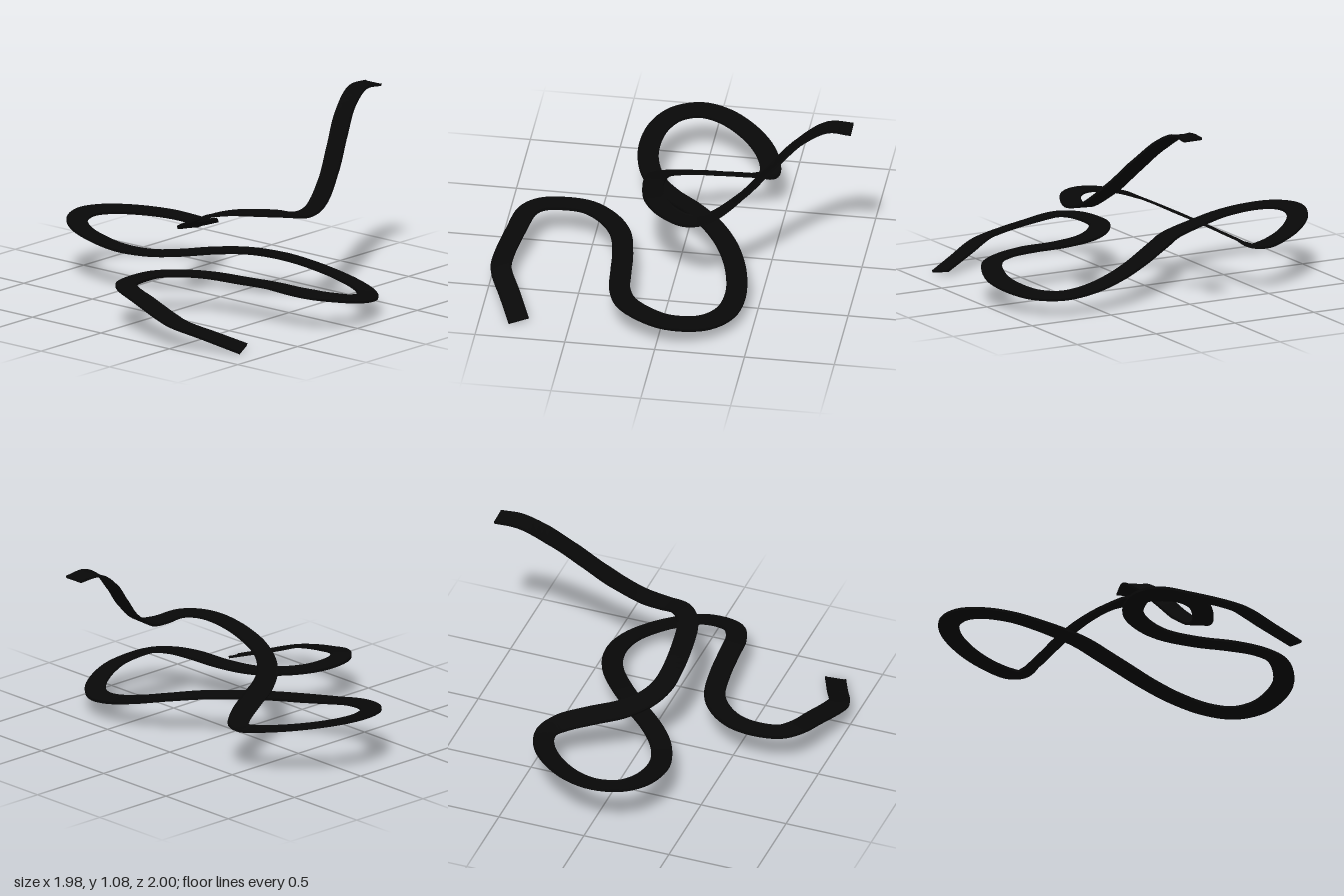
import * as THREE from 'three';
import { toCreasedNormals } from 'three/addons/utils/BufferGeometryUtils.js';

// Centre line of the track: x, y, z and bank angle per row (positive raises the right edge)
const LOWER_PATH = [
  [-0.78, 0.019, 0.85, 0.2], [-0.855, 0.073, 0.68, 0.17], [-0.93, 0.127, 0.51, 0.15], [-0.93, 0.153, 0.42, 0.13],
  [-0.89, 0.203, 0.22, 0.1], [-0.85, 0.233, 0.07, 0.04], [-0.78, 0.235, -0.005, 0], [-0.65, 0.235, -0.03, 0],
  [-0.52, 0.236, -0.01, 0], [-0.4, 0.231, 0.075, 0], [-0.315, 0.225, 0.2, 0], [-0.27, 0.221, 0.4, 0],
  [-0.25, 0.224, 0.6, 0], [-0.23, 0.214, 0.76, -0.08], [-0.17, 0.199, 0.87, -0.15], [0, 0.16, 0.938, -0.17],
  [0.13, 0.132, 0.92, -0.17], [0.26, 0.109, 0.85, -0.17], [0.355, 0.107, 0.73, -0.15], [0.386, 0.129, 0.58, -0.1],
  [0.36, 0.169, 0.4, -0.05], [0.29, 0.21, 0.23, 0], [0.18, 0.238, 0.07, 0], [0.05, 0.243, -0.07, 0],
  [-0.1, 0.235, -0.21, 0], [-0.2, 0.232, -0.34, 0], [-0.265, 0.246, -0.5, 0.03], [-0.28, 0.271, -0.64, 0],
  [-0.25, 0.296, -0.79, -0.05], [-0.17, 0.315, -0.9, -0.12], [-0.04, 0.324, -0.945, -0.16], [0.1, 0.318, -0.91, -0.15],
];
const UPPER_PATH = [
  [0.25, 0.3, -0.8, -0.12], [0.36, 0.278, -0.66, -0.08], [0.412, 0.256, -0.52, 0], [0.405, 0.256, -0.45, -0.12],
  [0.35, 0.279, -0.405, -0.4], [0.2, 0.319, -0.335, -0.43], [0.05, 0.355, -0.27, -0.4], [-0.06, 0.396, -0.19, -0.3],
  [-0.12, 0.44, -0.1, -0.18], [-0.14, 0.485, 0, 0], [-0.135, 0.54, 0.18, 0], [-0.1, 0.564, 0.35, 0],
  [-0.02, 0.562, 0.46, 0], [0.1, 0.54, 0.505, 0], [0.22, 0.562, 0.5, 0.12], [0.4, 0.69, 0.44, 0.33],
  [0.55, 0.842, 0.37, 0.36], [0.7, 0.984, 0.3, 0.29], [0.85, 1.068, 0.26, 0.07], [0.985, 1.066, 0.257, 0],
];

// Thin road section with slightly raised edges, counter-clockwise (side, up)
const PROFILE = [
  [-0.058, -0.007], [0.058, -0.007], [0.058, 0.007], [0.046, 0.003], [-0.046, 0.003], [-0.058, 0.007],
].map(([s, u]) => new THREE.Vector2(s, u));

// Sweep a closed section along the path, tilted by the bank angle
function sweep(path, profile, stepsPerKnot) {
  const curve = new THREE.CatmullRomCurve3(
    path.map(([x, y, z]) => new THREE.Vector3(x, y, z)), false, 'centripetal');
  const knots = path.length - 1, steps = knots * stepsPerKnot, n = profile.length;
  const positions = [], index = [];
  const worldUp = new THREE.Vector3(0, 1, 0);

  for (let i = 0; i <= steps; i++) {
    const t = i / steps, k = Math.min(Math.floor(i / stepsPerKnot), knots - 1);
    const bank = THREE.MathUtils.lerp(path[k][3], path[k + 1][3], i / stepsPerKnot - k);
    const p = curve.getPoint(t), forward = curve.getTangent(t);
    const side = forward.clone().cross(worldUp).normalize().applyAxisAngle(forward, -bank);
    const up = side.clone().cross(forward);
    for (const { x, y } of profile) {
      const v = p.clone().addScaledVector(side, x).addScaledVector(up, y);
      positions.push(v.x, v.y, v.z);
    }
    if (i === steps) break;
    for (let j = 0; j < n; j++) {
      const a = i * n + j, b = i * n + (j + 1) % n;
      index.push(a, a + n, b, b, a + n, b + n);
    }
  }

  // End caps
  const last = steps * n;
  for (const [a, b, c] of THREE.ShapeUtils.triangulateShape(profile, [])) {
    index.push(a, b, c, last + a, last + c, last + b);
  }
  const geometry = new THREE.BufferGeometry();
  geometry.setAttribute('position', new THREE.Float32BufferAttribute(positions, 3));
  geometry.setIndex(index);
  return toCreasedNormals(geometry.toNonIndexed(), 0.3);
}

export function createModel() {
  const asphalt = new THREE.MeshStandardMaterial({ color: 0x080808 });
  asphalt.name = 'asphalt black';

  const road = new THREE.Mesh(sweep([...LOWER_PATH, ...UPPER_PATH], PROFILE, 5), asphalt);
  road.name = 'road';
  const group = new THREE.Group();
  group.name = 'windingTrack';
  group.add(road);
  return group;
}
